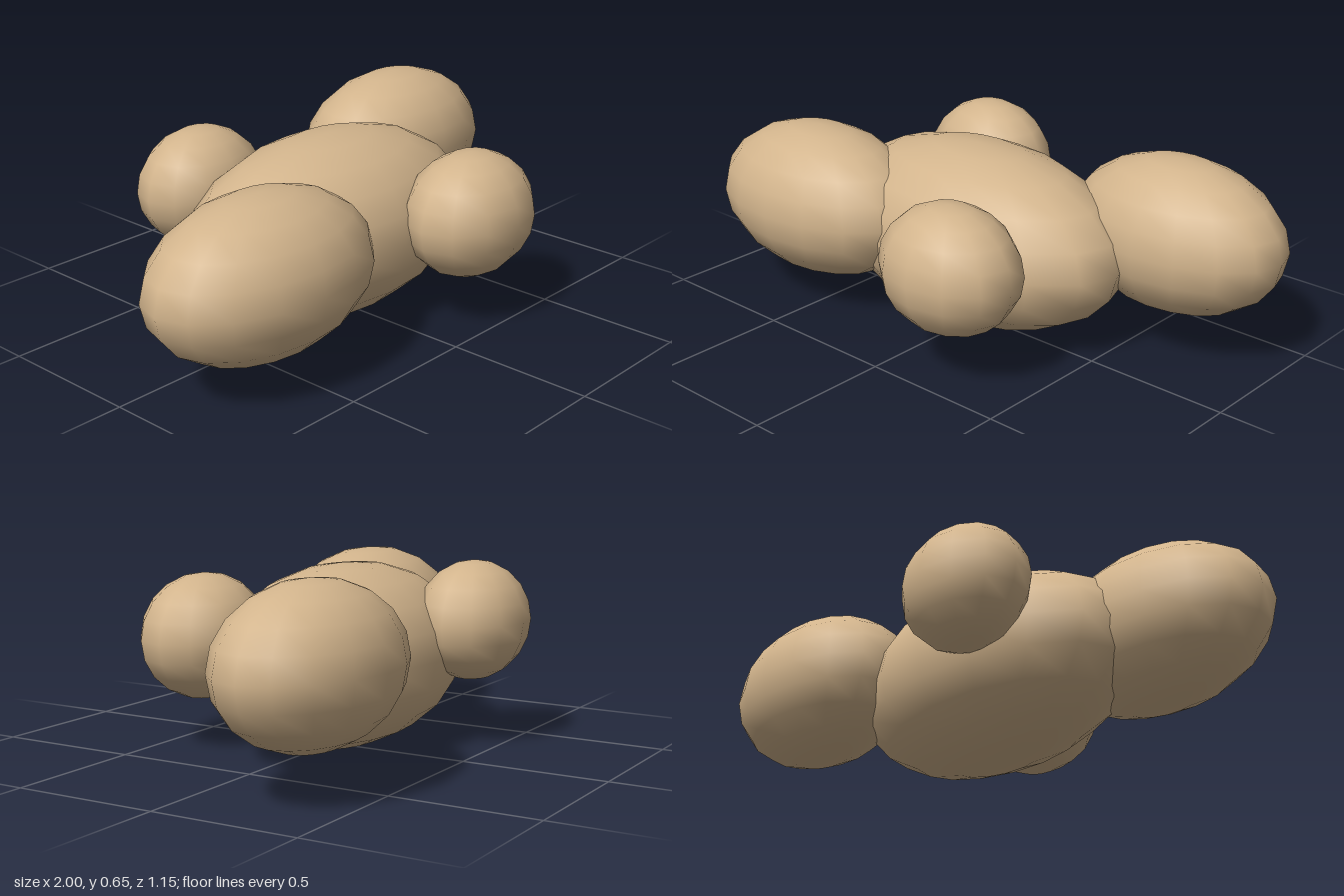
import * as THREE from 'three';

export function createModel() {
  const model = new THREE.Group();
  model.name = 'ellipsoidCluster';
  const tan = new THREE.MeshStandardMaterial({ color: 0xd2b48c });
  tan.name = 'tan';

  // Smooth, low-segment ellipsoid with its poles on y
  function ellipsoid(name, center, radii, widthSegments, heightSegments) {
    const geometry = new THREE.SphereGeometry(1, widthSegments, heightSegments);
    const mesh = new THREE.Mesh(geometry, tan);
    mesh.name = name;
    mesh.position.set(...center);
    mesh.scale.set(...radii);
    model.add(mesh);
  }

  // Central body
  ellipsoid('body', [-0.03, 0.313, -0.035], [0.595, 0.312, 0.345], 16, 10);

  // Large lobes at the two ends
  ellipsoid('rightLobe', [-0.57, 0.355, 0.182], [0.43, 0.265, 0.274], 16, 10);
  ellipsoid('leftLobe', [0.605, 0.395, -0.297], [0.395, 0.26, 0.259], 16, 10);

  // Small lobes at front and back
  ellipsoid('frontLobe', [0.218, 0.376, 0.372], [0.253, 0.215, 0.202], 12, 10);
  ellipsoid('backLobe', [-0.285, 0.425, -0.39], [0.237, 0.205, 0.186], 12, 10);

  return model;
}
